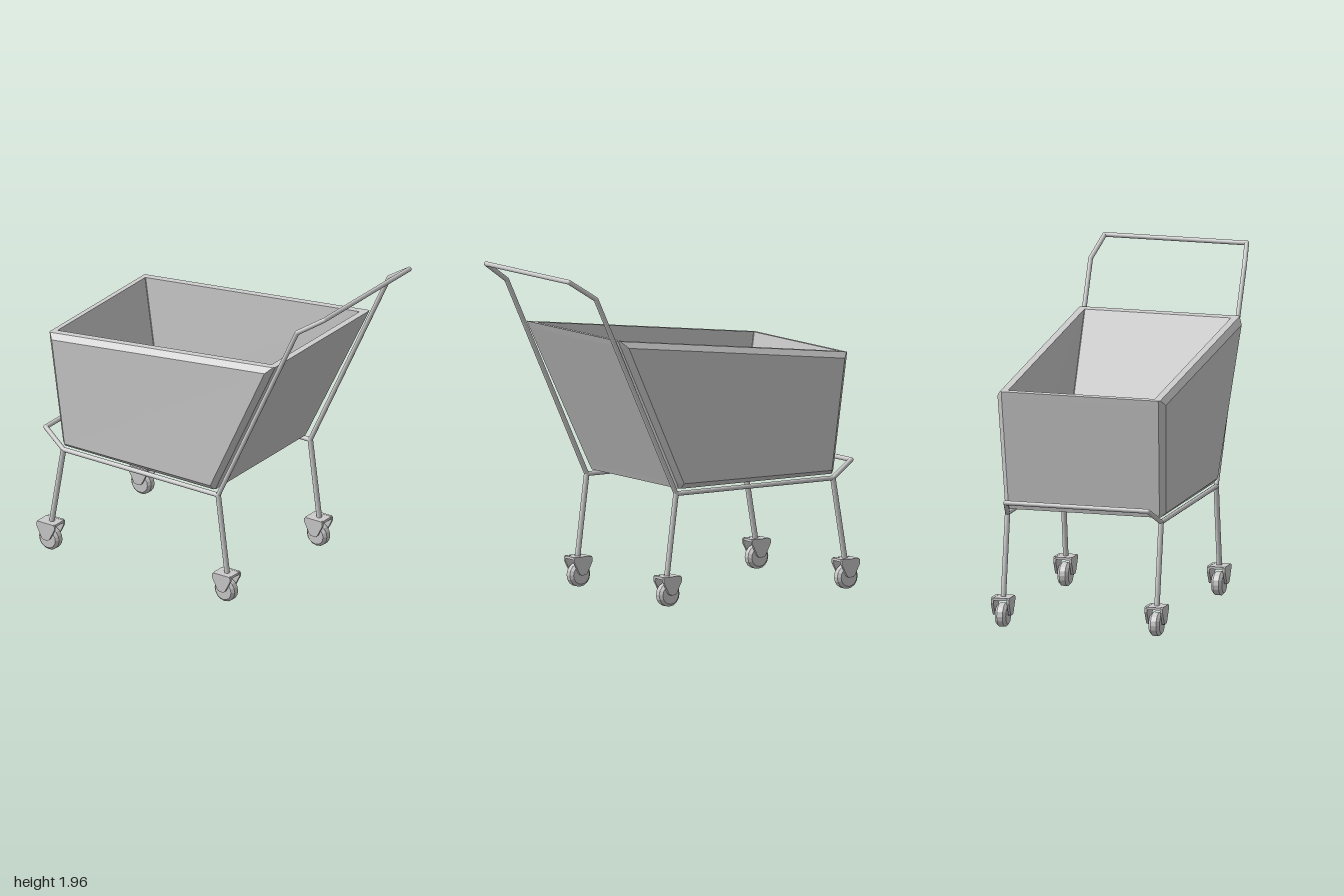
import * as THREE from 'three';

const grey = new THREE.MeshStandardMaterial({ color: 0xcccccc, flatShading: true });
const smooth = new THREE.MeshStandardMaterial({ color: 0xcccccc });

function addMesh(parent, name, geometry, material = grey) {
  const mesh = new THREE.Mesh(geometry, material);
  mesh.name = name;
  parent.add(mesh);
  return mesh;
}

// Straight tube between two points
function addBar(parent, name, a, b, radius) {
  const bar = addMesh(parent, name, new THREE.CylinderGeometry(radius, radius, a.distanceTo(b), 12, 1), smooth);
  bar.position.copy(a).add(b).multiplyScalar(0.5);
  bar.quaternion.setFromUnitVectors(new THREE.Vector3(0, 1, 0), b.clone().sub(a).normalize());
}

// Rectangle with cut corners; y is a function of z
function ring(hx, zb, zf, c, y) {
  return [
    [hx, zb - c], [hx, zf + c], [hx - c, zf], [c - hx, zf],
    [-hx, zf + c], [-hx, zb - c], [c - hx, zb], [hx - c, zb],
  ].map(([x, z]) => [x, y(z), z]);
}

// Skin joining consecutive rings
function loft(rings) {
  const n = rings[0].length, index = [];
  for (let i = 0; i < rings.length - 1; i++) {
    for (let j = 0; j < n; j++) {
      const a = i * n + j, b = i * n + (j + 1) % n;
      index.push(a, b, b + n, a, b + n, a + n);
    }
  }
  const g = new THREE.BufferGeometry();
  g.setAttribute('position', new THREE.Float32BufferAttribute(rings.flat(2), 3));
  g.setIndex(index);
  const flat = g.toNonIndexed();
  flat.computeVertexNormals();
  return flat;
}

// Open bin: outer skin up, over the sloping rim and down to the floor
function basketGeometry() {
  const top = z => 1.501 + 0.1226 * z;
  const level = y => () => y;
  return loft([
    ring(0, -0.3, -0.3, 0, level(0.68)),
    ring(0.46, 0.235, -0.835, 0.01, level(0.68)),
    ring(0.487, 0.25, -0.84, 0.03, z => 0.71 + 0.008 * z),
    ring(0.51, 0.655, -0.92, 0.035, z => top(z) - 0.035),
    ring(0.485, 0.672, -0.924, 0.01, top),
    ring(0.443, 0.625, -0.89, 0.003, top),
    ring(0.437, 0.21, -0.79, 0.003, level(0.73)),
    ring(0, -0.3, -0.3, 0, level(0.73)),
  ]);
}

// Swivel wheel, origin on the ground below the axle
function createCaster() {
  const caster = new THREE.Group();
  const profile = [[0, -0.033], [0.055, -0.033], [0.071, -0.017], [0.071, 0.017], [0.055, 0.033], [0, 0.033]];
  const wheel = addMesh(caster, 'wheel', new THREE.LatheGeometry(profile.map(p => new THREE.Vector2(...p)), 16));
  wheel.rotation.z = -Math.PI / 2;
  wheel.position.y = 0.071;

  const cheek = new THREE.Shape([
    [-0.055, 0.18], [-0.063, 0.172], [-0.063, 0.15], [-0.028, 0.082], [-0.018, 0.073],
    [0.018, 0.073], [0.028, 0.082], [0.063, 0.15], [0.063, 0.172], [0.055, 0.18],
  ].map(p => new THREE.Vector2(...p)));
  for (const x of [-0.055, 0.04]) {
    const side = addMesh(caster, 'forkCheek', new THREE.ExtrudeGeometry(cheek, { depth: 0.015, bevelEnabled: false }));
    side.rotation.y = Math.PI / 2;
    side.position.x = x;
  }
  addMesh(caster, 'forkPlate', new THREE.BoxGeometry(0.09, 0.015, 0.122)).position.y = 0.1715;
  addBar(caster, 'axle', new THREE.Vector3(-0.05, 0.078, 0), new THREE.Vector3(0.05, 0.078, 0), 0.01);
  return caster;
}

export function createModel() {
  const model = new THREE.Group();
  model.name = 'shoppingTrolley';
  addMesh(model, 'basket', basketGeometry());

  // Frame: one bent tube loop from handle to front bumper
  const frame = new THREE.Group();
  frame.name = 'frame';
  model.add(frame);
  const half = [
    [0.43, 1.95, 0.985], [0.465, 1.84, 0.82], [0.465, 0.655, 0.262],
    [0.465, 0.655, -0.832], [0.43, 0.745, -0.982],
  ].map(p => new THREE.Vector3(...p));
  const mirrored = half.map(p => new THREE.Vector3(-p.x, p.y, p.z)).reverse();
  const path = [...half, ...mirrored];
  path.forEach((p, i) => {
    addBar(frame, 'frameTube', p, path[(i + 1) % path.length], 0.014);
    addMesh(frame, 'frameBend', new THREE.SphereGeometry(0.0143, 12, 8), smooth).position.copy(p);
  });

  // Legs and casters
  for (const x of [-0.465, 0.465]) {
    for (const [zTop, zBottom, zWheel] of [[0.262, 0.326, 0.32], [-0.832, -0.915, -0.922]]) {
      addBar(model, 'leg', new THREE.Vector3(x, 0.655, zTop), new THREE.Vector3(x, 0.172, zBottom), 0.016);
      const caster = createCaster();
      caster.name = 'caster';
      caster.position.set(x, 0, zWheel);
      model.add(caster);
    }
  }
  return model;
}
